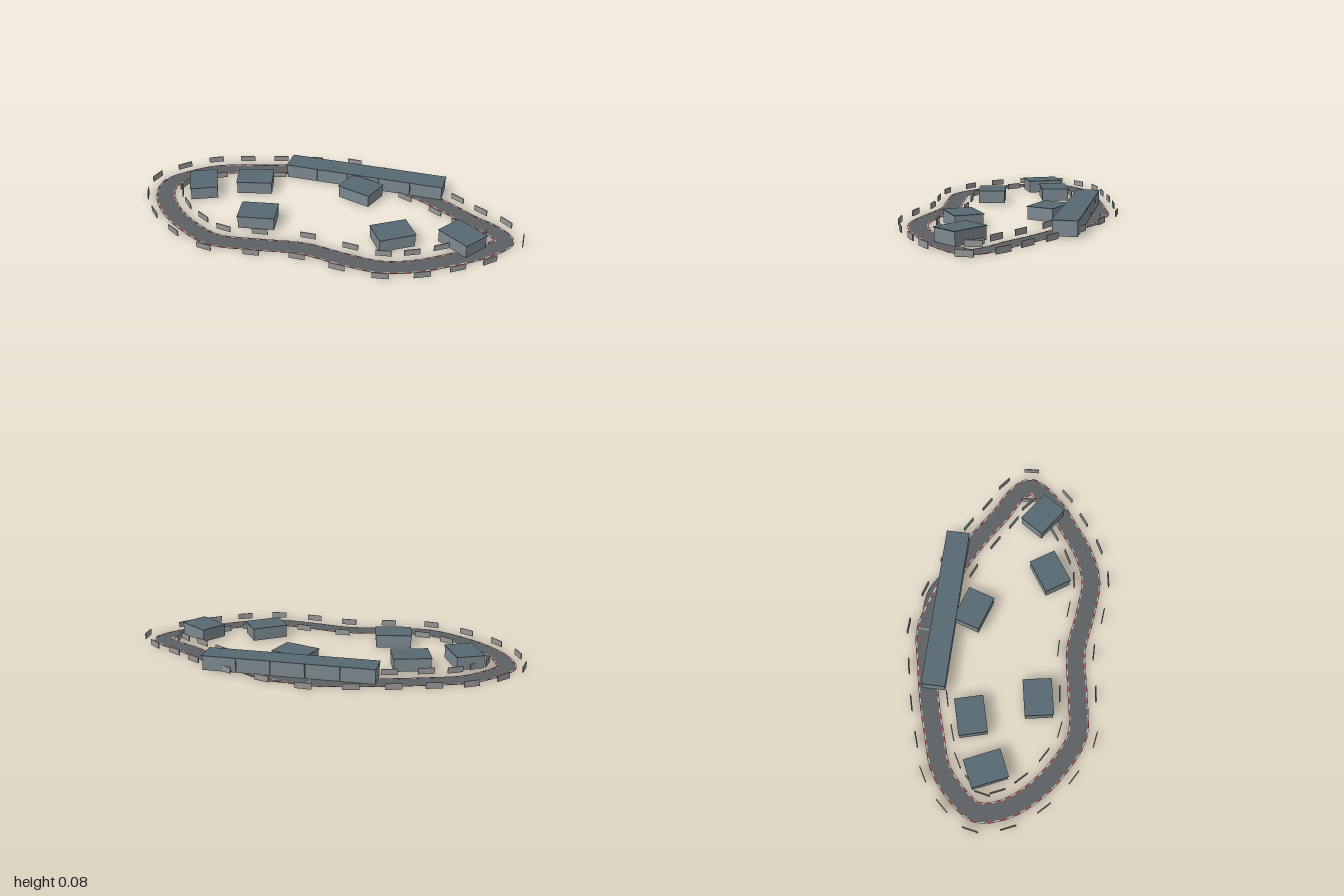
import * as THREE from 'three';
import { mergeGeometries } from 'three/addons/utils/BufferGeometryUtils.js';

const mat = (color) => new THREE.MeshStandardMaterial({ color });
const roadMat = mat(0x5c6062), wallMat = mat(0x7d8a91), roofMat = mat(0x586971);
const barrierMat = mat(0x989898), redMat = mat(0xa04848), whiteMat = mat(0xb8b8b8);

// Centre line of the circuit (x, z); a pair of barriers stands at each station
const stations = [
  [-0.905, -0.015], [-0.875, 0.11], [-0.775, 0.24], [-0.625, 0.35], [-0.455, 0.42], [-0.245, 0.395],
  [-0.015, 0.357], [0.20, 0.38], [0.39, 0.385], [0.545, 0.325], [0.68, 0.23], [0.80, 0.135],
  [0.902, -0.013], [0.835, -0.085], [0.705, -0.15], [0.57, -0.23], [0.38, -0.322], [0.18, -0.385],
  [-0.015, -0.428], [-0.21, -0.388], [-0.395, -0.34], [-0.57, -0.282], [-0.72, -0.225], [-0.835, -0.125],
];
const toCurve = (pts, closed) =>
  new THREE.CatmullRomCurve3(pts.map(([x, z]) => new THREE.Vector3(x, 0, z)), closed);

function add(parent, name, geometry, material, x = 0, y = 0, z = 0) {
  const mesh = new THREE.Mesh(geometry, material);
  mesh.name = name;
  mesh.position.set(x, y, z);
  parent.add(mesh);
}

// Point beside a curve, with the heading there
function beside(p, t, offset) {
  return { x: p.x + t.z * offset, z: p.z - t.x * offset, heading: Math.atan2(-t.z, t.x) };
}

// Thin slab of road swept along a curve
function ribbon(curve, width, top, steps) {
  const pos = [], index = [];
  for (let i = 0; i <= steps; i++) {
    const p = curve.getPointAt(i / steps), t = curve.getTangentAt(i / steps);
    for (const [s, y] of [[1, 0], [1, top], [-1, top], [-1, 0]]) {
      const b = beside(p, t, s * width / 2);
      pos.push(b.x, y, b.z);
    }
    if (i === steps) break;
    for (let k = 0; k < 4; k++) {
      const a = i * 4 + k, b = i * 4 + (k + 1) % 4;
      index.push(a, b, a + 4, b, b + 4, a + 4);
    }
  }
  const g = new THREE.BufferGeometry();
  g.setAttribute('position', new THREE.Float32BufferAttribute(pos, 3));
  g.setIndex(index);
  const flat = g.toNonIndexed();
  flat.computeVertexNormals();
  return flat;
}

// Box placed at a spot and turned to its heading
function placedBox(l, h, w, spot, y) {
  return new THREE.BoxGeometry(l, h, w).rotateY(spot.heading).translate(spot.x, y, spot.z);
}

// Building of equal bays under a thin flat roof
function building(name, x, z, length, width, height, turn, bays = 1) {
  const g = new THREE.Group();
  g.name = name;
  const bay = (length - 0.004) / bays, roof = 0.004, base = 0.003, wall = height - roof - base;
  for (let i = 0; i < bays; i++) {
    add(g, 'walls', new THREE.BoxGeometry(bay - 0.003, wall, width - 0.006), wallMat,
      (i + 0.5 - bays / 2) * bay, base + wall / 2, 0);
  }
  add(g, 'roof', new THREE.BoxGeometry(length, roof, width), roofMat, 0, height - roof / 2, 0);
  g.position.set(x, 0, z);
  g.rotation.y = turn;
  return g;
}

export function createModel() {
  const model = new THREE.Group();
  model.name = 'raceCircuit';
  const track = toCurve(stations, true);

  // Road and the pit lane that leaves it by the long building
  add(model, 'road', ribbon(track, 0.09, 0.0015, 240), roadMat);
  const pit = toCurve([[-0.25, -0.37], [0, -0.415], [0.18, -0.42], [0.27, -0.38], [0.34, -0.34]], false);
  add(model, 'pitLane', ribbon(pit, 0.085, 0.001, 40), roadMat);

  // Kerbs alternate red and white on both edges
  const kerbs = [[], []], count = 140;
  for (let i = 0; i < count; i++) {
    const p = track.getPointAt(i / count), t = track.getTangentAt(i / count);
    for (const side of [-1, 1]) {
      kerbs[i % 2].push(placedBox(0.032, 0.002, 0.008, beside(p, t, side * 0.046), 0.001));
    }
  }
  add(model, 'redKerbs', mergeGeometries(kerbs[0]), redMat);
  add(model, 'whiteKerbs', mergeGeometries(kerbs[1]), whiteMat);

  // Dotted start line
  for (let i = 0; i < 6; i++) {
    add(model, 'startLine', new THREE.BoxGeometry(0.008, 0.001, 0.007), whiteMat, -0.015, 0.0015, -0.463 + i * 0.014);
  }

  // Barriers on both sides at each station
  const n = stations.length;
  for (let i = 0; i < n; i++) {
    const p = track.getPoint(i / n), t = track.getTangent(i / n);
    for (const side of [-1, 1]) {
      add(model, 'barrier', placedBox(0.08, 0.03, 0.005, beside(p, t, side * 0.091), 0.018), barrierMat);
    }
  }

  // Long pit building and the smaller buildings
  model.add(building('pitBuilding', 0.10, -0.34, 0.86, 0.122, 0.078, 0.025, 5));
  for (const [x, z, turn] of [
    [-0.70, 0, -1.12],
    [-0.45, -0.116, 0.29],
    [-0.307, 0.2, 0.20],
    [0.115, -0.197, -0.29],
    [0.383, 0.165, 0.61],
    [0.71, 0.081, -0.57],
  ]) model.add(building('trackBuilding', x, z, 0.19, 0.146, 0.07, turn));

  return model;
}
